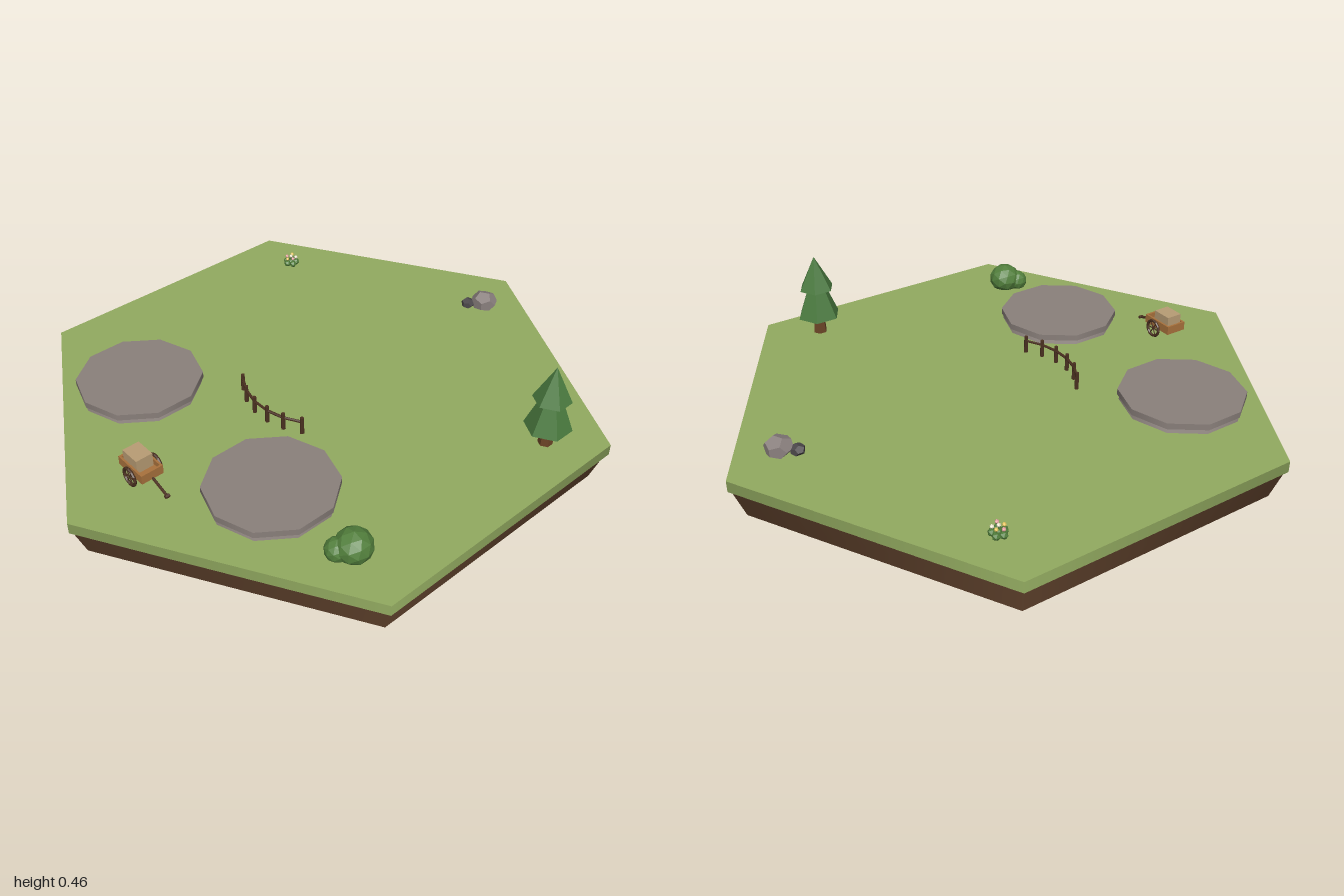
import * as THREE from 'three';

const mat = (color, flatShading = true) => new THREE.MeshStandardMaterial({ color, flatShading });
const GROUND = 0.15;
const wood = mat(0x4a3020), grassGreen = mat(0x92aa60, false), dirt = mat(0x6b4a32, false);
const slabStone = mat(0x8a807b, false), pine = mat(0x4a7a3f), leaf = mat(0x527f3c);
const trunkBrown = mat(0x6b4426), cartWood = mat(0xa8713c), crateTan = mat(0xb89c74);
const rockGrey = mat(0x8a807e), rockDark = mat(0x4c484b);

function add(parent, name, geometry, material, x = 0, y = 0, z = 0) {
  const mesh = new THREE.Mesh(geometry, material);
  mesh.name = name;
  mesh.position.set(x, y, z);
  parent.add(mesh);
  return mesh;
}

function group(parent, name, x = 0, z = 0) {
  const g = new THREE.Group();
  g.name = name;
  g.position.set(x, GROUND, z);
  parent.add(g);
  return g;
}

// Round bar between two points
function bar(parent, name, a, b, r, material) {
  const from = new THREE.Vector3(...a), to = new THREE.Vector3(...b);
  const dir = to.clone().sub(from);
  const mesh = add(parent, name, new THREE.CylinderGeometry(r, r, dir.length(), 6), material);
  mesh.position.copy(from).add(to).multiplyScalar(0.5);
  mesh.quaternion.setFromUnitVectors(new THREE.Vector3(0, 1, 0), dir.normalize());
  return mesh;
}

function addTile(root) {
  add(root, 'dirtBase', new THREE.CylinderGeometry(0.99, 0.95, 0.11, 6), dirt, 0, 0.055, 0);
  add(root, 'grassTop', new THREE.CylinderGeometry(1, 1, 0.04, 6), grassGreen, 0, 0.13, 0);
}

function addSlab(root, x, z) {
  const g = group(root, 'stonePlatform', x, z);
  add(g, 'platformFoot', new THREE.CylinderGeometry(0.205, 0.212, 0.018, 10), slabStone, 0, 0.009, 0);
  add(g, 'platformTop', new THREE.CylinderGeometry(0.218, 0.218, 0.022, 10), slabStone, 0, 0.029, 0);
}

function addTree(root) {
  const g = group(root, 'pineTree', 0.715, -0.352);
  add(g, 'trunk', new THREE.CylinderGeometry(0.018, 0.025, 0.09, 6), trunkBrown, 0, 0.045, 0);
  add(g, 'lowerBranches', new THREE.ConeGeometry(0.079, 0.2, 6), pine, 0, 0.17, 0);
  add(g, 'upperBranches', new THREE.ConeGeometry(0.064, 0.125, 6), pine, 0, 0.243, 0);
}

function addBush(root) {
  const g = group(root, 'bush', 0.655, 0.445);
  add(g, 'largeLeaves', new THREE.IcosahedronGeometry(0.061, 1), leaf, 0, 0.035, 0).scale.y = 0.92;
  add(g, 'smallLeaves', new THREE.IcosahedronGeometry(0.04, 1), leaf, -0.028, 0.025, 0.04);
}

function addRocks(root) {
  const g = group(root, 'rocks', 0.055, -0.803);
  const big = add(g, 'largeRock', new THREE.DodecahedronGeometry(0.05), rockGrey, 0, 0.022, 0);
  big.scale.y = 0.75;
  big.rotation.y = 0.5;
  const small = add(g, 'smallRock', new THREE.DodecahedronGeometry(0.026), rockDark, -0.038, 0.014, 0.047);
  small.scale.y = 0.8;
}

function addFlowers(root) {
  const g = group(root, 'flowerPatch', -0.665, -0.45);
  const colors = [0xe8c860, 0xe3a0a0, 0xf0e6d0].map((c) => mat(c));
  // Leaf clumps around the middle, each carrying a blossom
  for (let i = 0; i < 6; i++) {
    const a = i / 5 * Math.PI * 2, r = i < 5 ? 0.019 : 0;
    const x = Math.sin(a) * r, z = Math.cos(a) * r;
    const h = i < 5 ? 0.03 + (i % 2) * 0.004 : 0.036;
    add(g, 'flowerLeaves', new THREE.IcosahedronGeometry(0.014, 0), leaf, x, 0.01, z);
    bar(g, 'flowerStem', [x, 0, z], [x, h, z], 0.002, leaf);
    add(g, 'blossom', new THREE.IcosahedronGeometry(0.007, 0), colors[i % 3], x, h, z);
  }
}

function addFence(root) {
  const g = group(root, 'fence', 0, -0.01);
  const R = 0.265, half = 0.62, count = 6;
  let previous = null;
  for (let i = 0; i < count; i++) {
    const a = -half + 2 * half * i / (count - 1);
    const x = Math.sin(a) * R, z = Math.cos(a) * R;
    add(g, 'fencePost', new THREE.CylinderGeometry(0.007, 0.008, 0.064, 6), wood, x, 0.032, z);
    const here = [x, 0.046, z];
    if (previous) bar(g, 'fenceRail', previous, here, 0.005, wood);
    previous = here;
  }
}

function addCart(root) {
  const g = group(root, 'handCart', -0.02, 0.716);
  // Open tray with low walls
  add(g, 'cartFloor', new THREE.BoxGeometry(0.126, 0.012, 0.08), cartWood, 0, 0.042, 0);
  for (const s of [-1, 1]) {
    add(g, 'cartSide', new THREE.BoxGeometry(0.126, 0.024, 0.007), cartWood, 0, 0.056, s * 0.0365);
    add(g, 'cartEnd', new THREE.BoxGeometry(0.007, 0.024, 0.066), cartWood, s * 0.0595, 0.056, 0);
  }
  add(g, 'crate', new THREE.BoxGeometry(0.074, 0.05, 0.06), crateTan, -0.012, 0.072, 0);
  // Wheels with crossed spokes
  for (const s of [-1, 1]) {
    const z = s * 0.049;
    add(g, 'wheelRim', new THREE.TorusGeometry(0.03, 0.0055, 6, 12), wood, 0.008, 0.036, z);
    for (let i = 0; i < 3; i++) {
      const a = i * Math.PI / 3, dx = Math.cos(a) * 0.03, dy = Math.sin(a) * 0.03;
      bar(g, 'wheelSpoke', [0.008 - dx, 0.036 - dy, z], [0.008 + dx, 0.036 + dy, z], 0.002, wood);
    }
  }
  bar(g, 'axle', [0.008, 0.036, -0.05], [0.008, 0.036, 0.05], 0.005, wood);
  bar(g, 'drawbar', [0.05, 0.042, 0], [0.14, 0.012, 0], 0.005, wood);
  bar(g, 'drawbarGrip', [0.135, 0.014, -0.008], [0.135, 0.014, 0.008], 0.006, wood);
}

export function createModel() {
  const root = new THREE.Group();
  root.name = 'hexMeadowTile';
  addTile(root);
  addSlab(root, -0.41, 0.457);
  addSlab(root, 0.3, 0.457);
  addTree(root);
  addBush(root);
  addRocks(root);
  addFlowers(root);
  addFence(root);
  addCart(root);
  return root;
}
